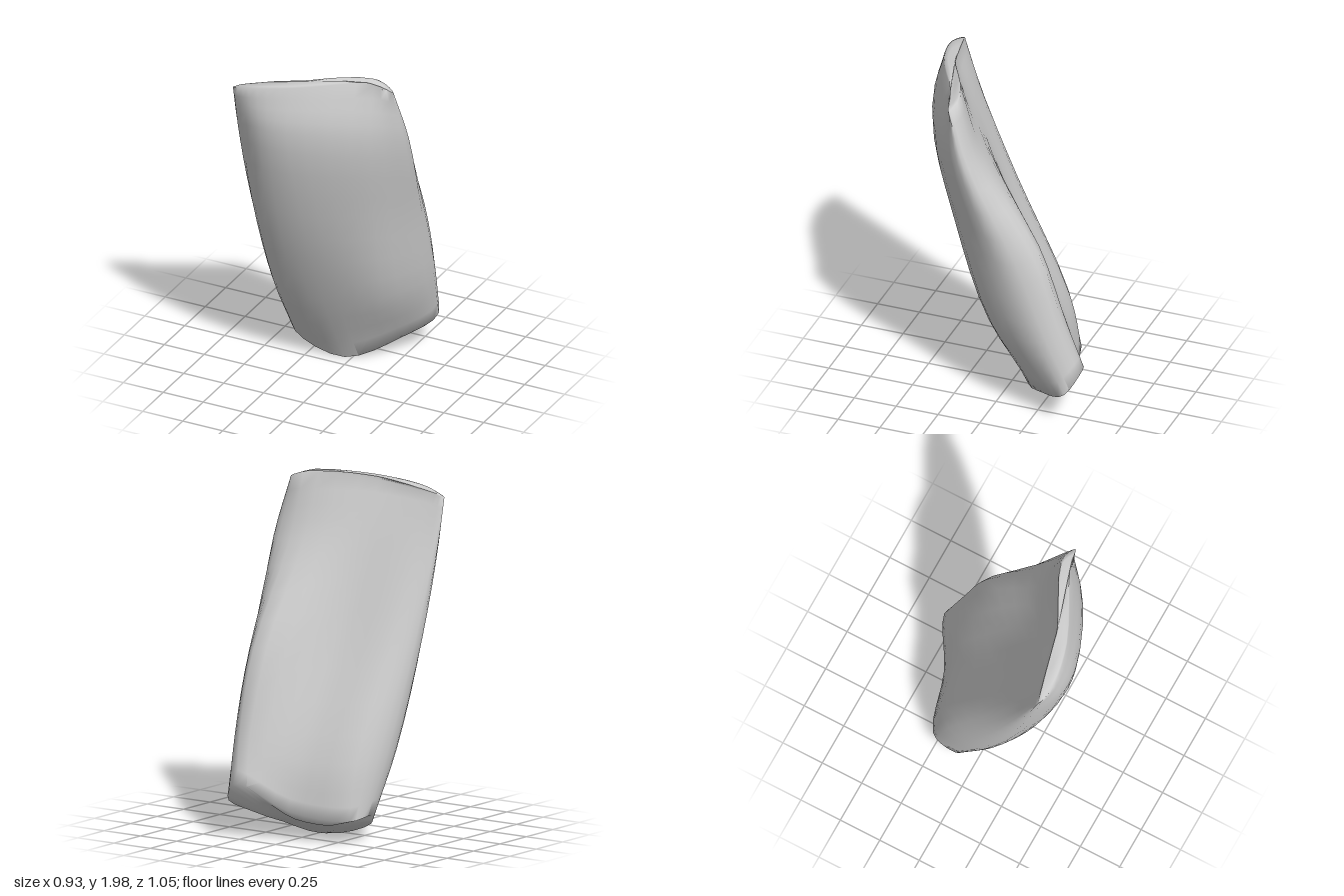
import * as THREE from 'three';
import { toCreasedNormals } from 'three/addons/utils/BufferGeometryUtils.js';

// Rails running from the bottom rim to the top rim, in order around the plate
const RAILS = [
  // outer edge, -x
  [[-0.39, 0.15, -0.13], [-0.425, 0.5, 0.03], [-0.45, 1.1, 0.25], [-0.465, 1.62, 0.40], [-0.46, 1.87, 0.465]],
  // front
  [[-0.35, 0.09, -0.08], [-0.35, 0.5, 0.15], [-0.34, 1.1, 0.38], [-0.31, 1.68, 0.515], [-0.35, 1.9, 0.495]],
  [[-0.04, 0.0, -0.08], [-0.06, 0.45, 0.14], [-0.07, 1.1, 0.385], [-0.10, 1.68, 0.51], [-0.10, 1.94, 0.45]],
  [[0.22, 0.1, -0.26], [0.26, 0.5, 0.02], [0.29, 1.1, 0.20], [0.32, 1.65, 0.31], [0.31, 1.97, 0.25]],
  // outer edge, +x
  [[0.36, 0.2, -0.45], [0.40, 0.53, -0.31], [0.42, 1.0, -0.13], [0.46, 1.6, 0.11], [0.42, 1.93, 0.22]],
  // back
  [[0.25, 0.32, -0.52], [0.30, 0.6, -0.425], [0.31, 1.04, -0.285], [0.32, 1.6, 0.07], [0.31, 1.97, 0.19]],
  [[0.0, 0.17, -0.385], [-0.02, 0.45, -0.31], [-0.04, 1.1, 0.0], [-0.06, 1.66, 0.24], [-0.08, 1.94, 0.37]],
  [[-0.34, 0.13, -0.27], [-0.34, 0.45, -0.20], [-0.36, 1.1, 0.11], [-0.37, 1.66, 0.35], [-0.38, 1.89, 0.44]],
].map(r => new THREE.CatmullRomCurve3(r.map(p => new THREE.Vector3(...p))));

const AROUND = 32, ROWS = 16;

// Closed cross-section through all rails at parameter t
function section(t) {
  const loop = new THREE.CatmullRomCurve3(RAILS.map(r => r.getPoint(t)), true);
  return Array.from({ length: AROUND }, (_, i) => loop.getPoint(i / AROUND));
}

// Copy of a ring pulled towards its centre and lifted, for the rounded ends
function shrink(ring, scale, lift) {
  const c = ring.reduce((s, p) => s.add(p), new THREE.Vector3()).divideScalar(ring.length);
  return ring.map(p => p.clone().lerp(c, 1 - scale).add(new THREE.Vector3(0, lift, 0)));
}

function plateGeometry() {
  const rings = [];
  for (let i = 0; i <= ROWS; i++) rings.push(section(i / ROWS));
  const bottom = rings[0], top = rings[ROWS];
  rings.unshift(shrink(bottom, 0, -0.05), shrink(bottom, 0.6, -0.04));
  rings.push(shrink(top, 0.92, 0.012), shrink(top, 0.6, 0.025), shrink(top, 0, 0.03));

  const position = rings.flat().flatMap(p => [p.x, p.y, p.z]);
  const index = [];
  for (let i = 0; i < rings.length - 1; i++) {
    for (let j = 0; j < AROUND; j++) {
      const a = i * AROUND + j, b = i * AROUND + (j + 1) % AROUND;
      const c = b + AROUND, d = a + AROUND;
      // the first and last rings are single points, so they need one triangle only
      if (i > 0) index.push(a, b, c);
      if (i < rings.length - 2) index.push(a, c, d);
    }
  }
  const g = new THREE.BufferGeometry();
  g.setAttribute('position', new THREE.Float32BufferAttribute(position, 3));
  g.setIndex(index);
  return toCreasedNormals(g, 1.3);
}

export function createModel() {
  const group = new THREE.Group();
  const plate = new THREE.Mesh(plateGeometry(), new THREE.MeshStandardMaterial({ color: 0xcccccc }));
  plate.name = 'curvedPlate';
  group.add(plate);
  return group;
}
